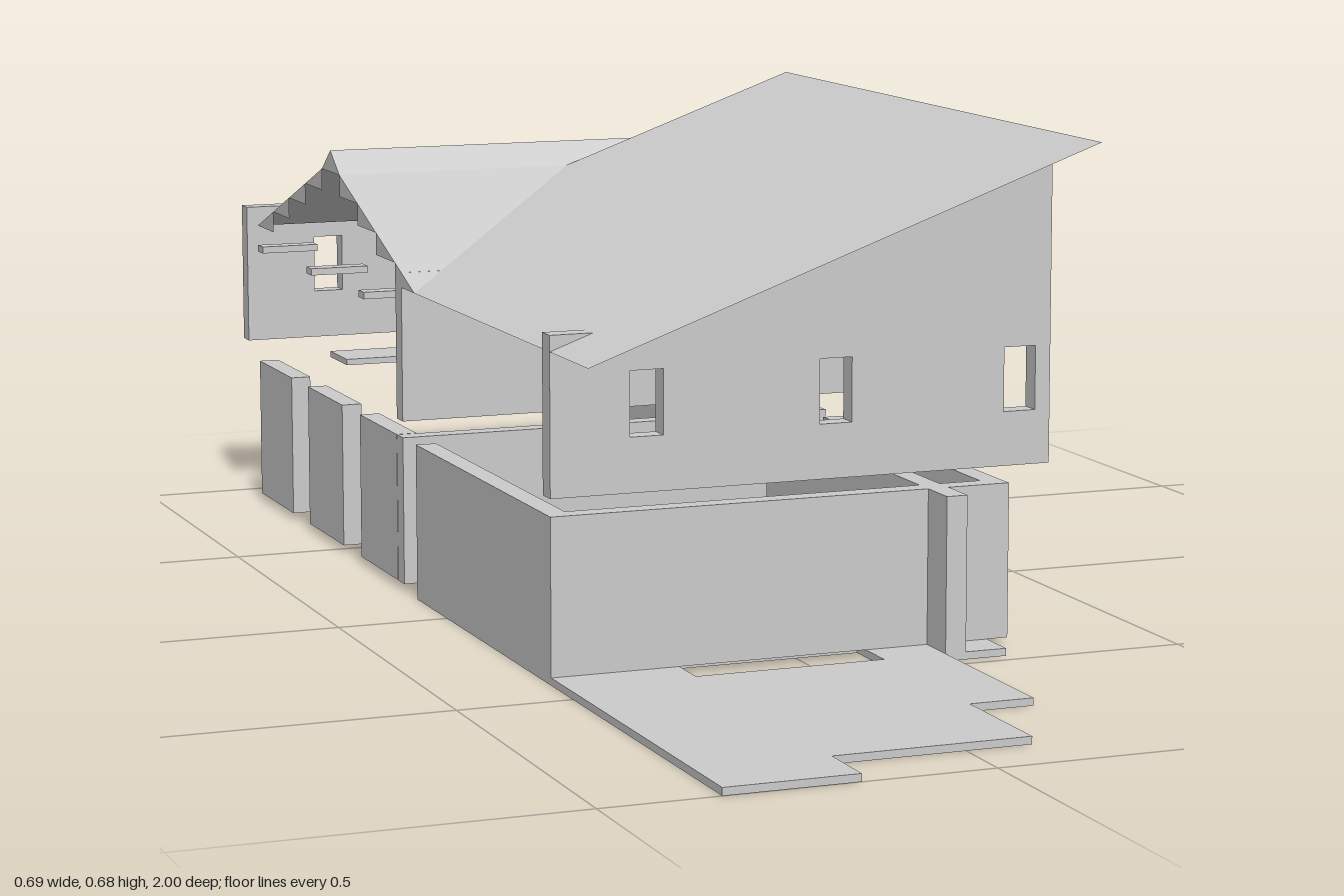
import * as THREE from 'three';

const mat = new THREE.MeshStandardMaterial({ color: 0xcccccc, flatShading: true, side: THREE.DoubleSide });
const C = 0.0868;            // grid cell
const W = 4 * C;             // half width
const RISE = 0.0312;         // roof rise per cell
const EAVE = 0.427;
const ZF = -0.13, ZB = -0.911;                 // eaves of the rear roof
const CAPF = ZF - 4 * C, CAPB = ZB + 4 * C;    // foot of the ridge cap
const TOP = EAVE + 4 * RISE;

export function createModel() {
  const model = new THREE.Group();

  const add = (name, geo) => {
    const m = new THREE.Mesh(geo, mat);
    m.name = name;
    model.add(m);
    return m;
  };
  // box from its min and max on each axis
  const box = (name, x0, x1, y0, y1, z0, z1) =>
    add(name, new THREE.BoxGeometry(x1 - x0, y1 - y0, z1 - z0))
      .position.set((x0 + x1) / 2, (y0 + y1) / 2, (z0 + z1) / 2);
  // flat convex sheet through a few corners
  const sheet = (name, ...pts) => {
    const idx = [];
    for (let i = 1; i < pts.length - 1; i++) idx.push(0, i, i + 1);
    const g = new THREE.BufferGeometry();
    g.setAttribute('position', new THREE.Float32BufferAttribute(pts.flat(), 3));
    g.setIndex(idx);
    g.computeVertexNormals();
    add(name, g);
  };
  const outline = pts => new THREE.Shape(pts.map(p => new THREE.Vector2(p[0], p[1])));
  const cut = (shape, x0, x1, y0, y1) => shape.holes.push(
    new THREE.Path([[x0, y0], [x0, y1], [x1, y1], [x1, y0]].map(p => new THREE.Vector2(p[0], p[1]))));

  // Upper walls with three windows
  const windowWall = (name, pts, z, depth) => {
    const s = outline(pts);
    for (const x of [-0.24, 0.02, 0.281]) cut(s, x, x + 0.045, 0.312, 0.397);
    add(name, new THREE.ExtrudeGeometry(s, { depth, bevelEnabled: false })).position.z = z;
  };
  const stepped = [[-W, 0.24]];
  stepped.push([W, 0.24]);
  for (let i = 7; i >= 0; i--) {
    const y = i === 0 ? 0.448 : EAVE + i * RISE;
    stepped.push([-W + (i + 1) * C, y], [-W + i * C, y]);
  }
  windowWall('frontUpperWall', stepped, 0.392, 0.028);
  windowWall('backUpperWall', [[-W, 0.24], [W, 0.24], [W, 0.448], [-W, 0.448]], -1, 0.028);
  box('middleUpperWall', -W, W, 0.24, 0.448, -0.215, -0.188);

  // Lower walls
  const L0 = 0.01, L1 = 0.217;
  box('frontLowerWall', -W, 0.174, L0, L1, 0.392, 0.42);
  box('porchReturnWall', 0.203, 0.29, L0, L1, 0.392, 0.42);
  box('hallWall', 0.174, 0.203, L0, L1, ZF, 0.478);
  box('rightFrontWall', 0.261, 0.29, L0, L1, ZF, 0.392);
  box('leftFrontWall', -W, -W + 0.029, L0, L1, ZF, 0.392);
  box('middleLowerWall', -W, 0.29, L0, L1, -0.215, -0.188);
  box('rightBackWall', 0.261, 0.29, L0, L1, ZB, -0.215);
  for (let i = 0; i < 3; i++) {
    const z = ZB + 3 * C * i;
    box('leftWallSegment', -W, -W + 0.029, L0, L1, z, z + 2 * C);
    box('ledge', -W, -W + C, 0.387, 0.397, z, z + 0.026);
  }

  // Ceiling plates
  box('ceilingPlate', -3 * C, C, 0.231, 0.24, -0.39, -0.305);
  box('ceilingPlate', -3 * C, C, 0.231, 0.24, -0.824, -0.738);
  box('ceilingPlate', 2 * C, W, 0.231, 0.24, -0.824, -0.738);

  // Stepped ground slab, drawn in x and -z and laid flat
  const slab = outline([
    [-W, -1], [-2 * C, -1], [-2 * C, -0.913], [C, -0.913], [C, -0.738],
    [2 * C, -0.738], [2 * C, -0.478], [3 * C, -0.478], [3 * C, -ZF], [-W, -ZF]]);
  cut(slab, -2 * C, C, -0.478, -0.392);
  cut(slab, 0, C, -0.304, -0.217);
  cut(slab, 0, C, -0.13, -0.043);
  cut(slab, -3 * C, -2 * C, -0.304, -0.217);
  const slabGeo = new THREE.ExtrudeGeometry(slab, { depth: 0.01, bevelEnabled: false });
  slabGeo.rotateX(-Math.PI / 2);
  add('groundSlab', slabGeo);

  // Main roof, rising to +x, cut along the valley
  const mainY = x => EAVE + (x + W) / C * RISE;
  const onMain = (x, z) => [x, mainY(x), z];
  sheet('mainRoof', onMain(-W, 0.56), onMain(W, 0.56), onMain(W, CAPF), onMain(0, CAPF), onMain(-W, ZF));

  // Rear roof: front slope up to the valley, ridge cap, back slope
  sheet('rearRoofFrontSlope', [-W, EAVE, ZF], [0, TOP, CAPF], [-W, TOP, CAPF]);
  const ridge = [TOP + RISE, (CAPF + CAPB) / 2];
  const band = (name, y0, z0, y1, z1) => sheet(name, [-W, y0, z0], [W, y0, z0], [W, y1, z1], [-W, y1, z1]);
  band('ridgeCapFront', TOP, CAPF, ...ridge);
  band('ridgeCapBack', ...ridge, TOP, CAPB);
  band('rearRoofBackSlope', TOP, CAPB, EAVE, ZB);

  // Small triangles closing the gable ends
  for (const x of [-W, W]) {
    sheet('ridgeGable', [x, TOP, CAPF], [x, ...ridge], [x, TOP, CAPB]);
    for (let i = 0; i < 4; i++) {
      const y0 = EAVE + i * RISE, y1 = y0 + RISE;
      const zb = ZB + i * C, zf = ZF - i * C;
      sheet('backGableTooth', [x, y0, zb], [x, y0, zb + C], [x, y1, zb + C]);
      if (x < 0) sheet('frontGableTooth', [x, y0, zf], [x, y0, zf - C], [x, y1, zf - C]);
    }
  }
  return model;
}
